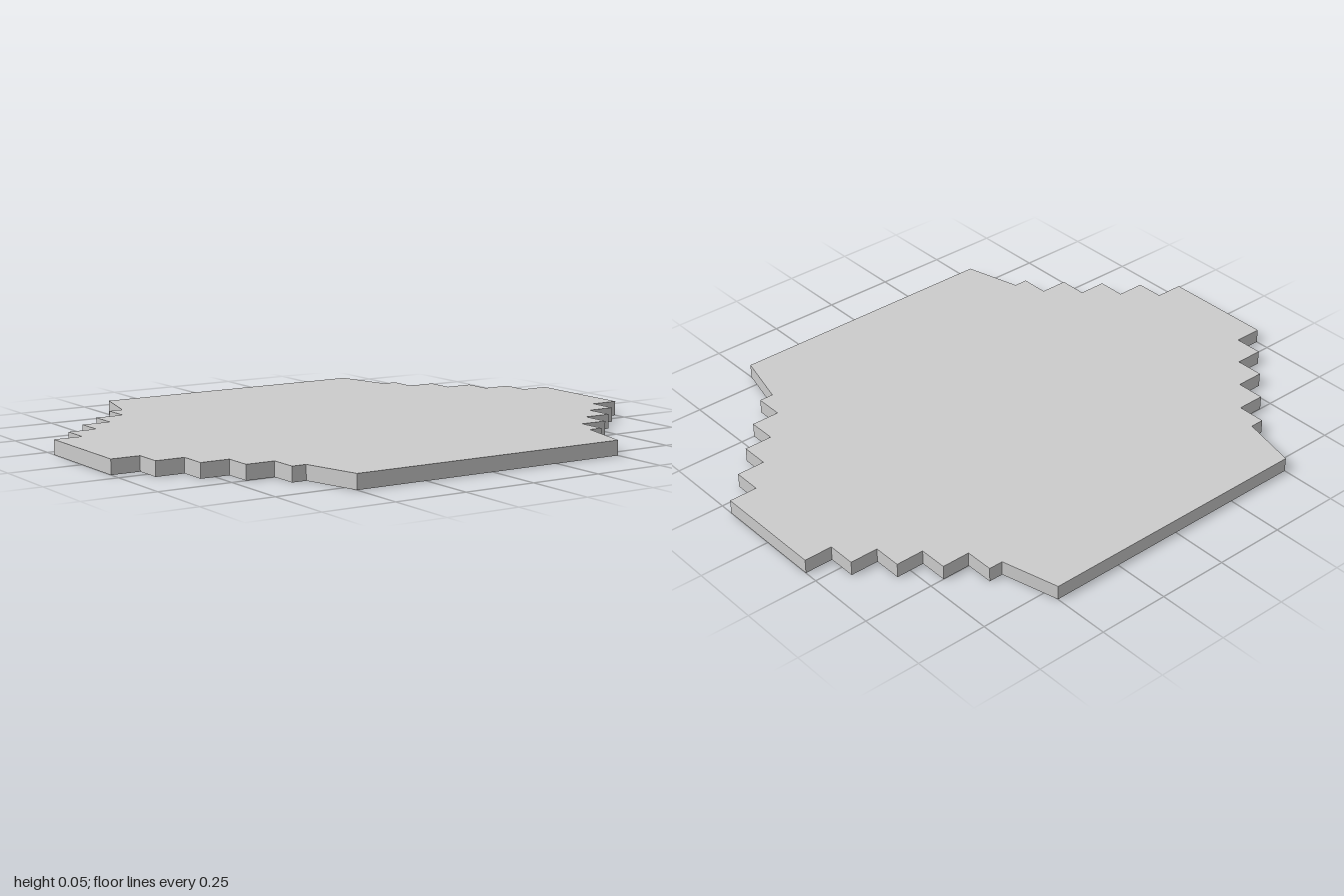
import * as THREE from 'three';

const THICKNESS = 0.05;

// One quarter of the outline: slanted end, then a staircase out to the side
function quarterOutline() {
  const points = [[0.5, 0.8], [0.55, 0.6]];
  for (let i = 0; i < 5; i++) {
    const x = 0.6 + i * 0.1;
    const z = 0.6 - i * 0.1;
    points.push([x, z]);
    if (i < 4) points.push([x, z - 0.1]);
  }
  return points;
}

export function createModel() {
  const group = new THREE.Group();
  group.name = 'steppedPlate';

  // Mirror the quarter into a closed outline
  const quarter = quarterOutline();
  const mirror = (sx, sz) => quarter.map(([x, z]) => new THREE.Vector2(x * sx, z * sz));
  const outline = [
    ...mirror(1, 1),
    ...mirror(1, -1).reverse(),
    ...mirror(-1, -1),
    ...mirror(-1, 1).reverse(),
  ];

  // Flat slab lying on the ground
  const geometry = new THREE.ExtrudeGeometry(new THREE.Shape(outline), {
    depth: THICKNESS,
    bevelEnabled: false,
  });
  geometry.rotateX(-Math.PI / 2);

  const plate = new THREE.Mesh(geometry, new THREE.MeshStandardMaterial({ color: 0xcccccc }));
  plate.name = 'plate';
  group.add(plate);
  return group;
}
